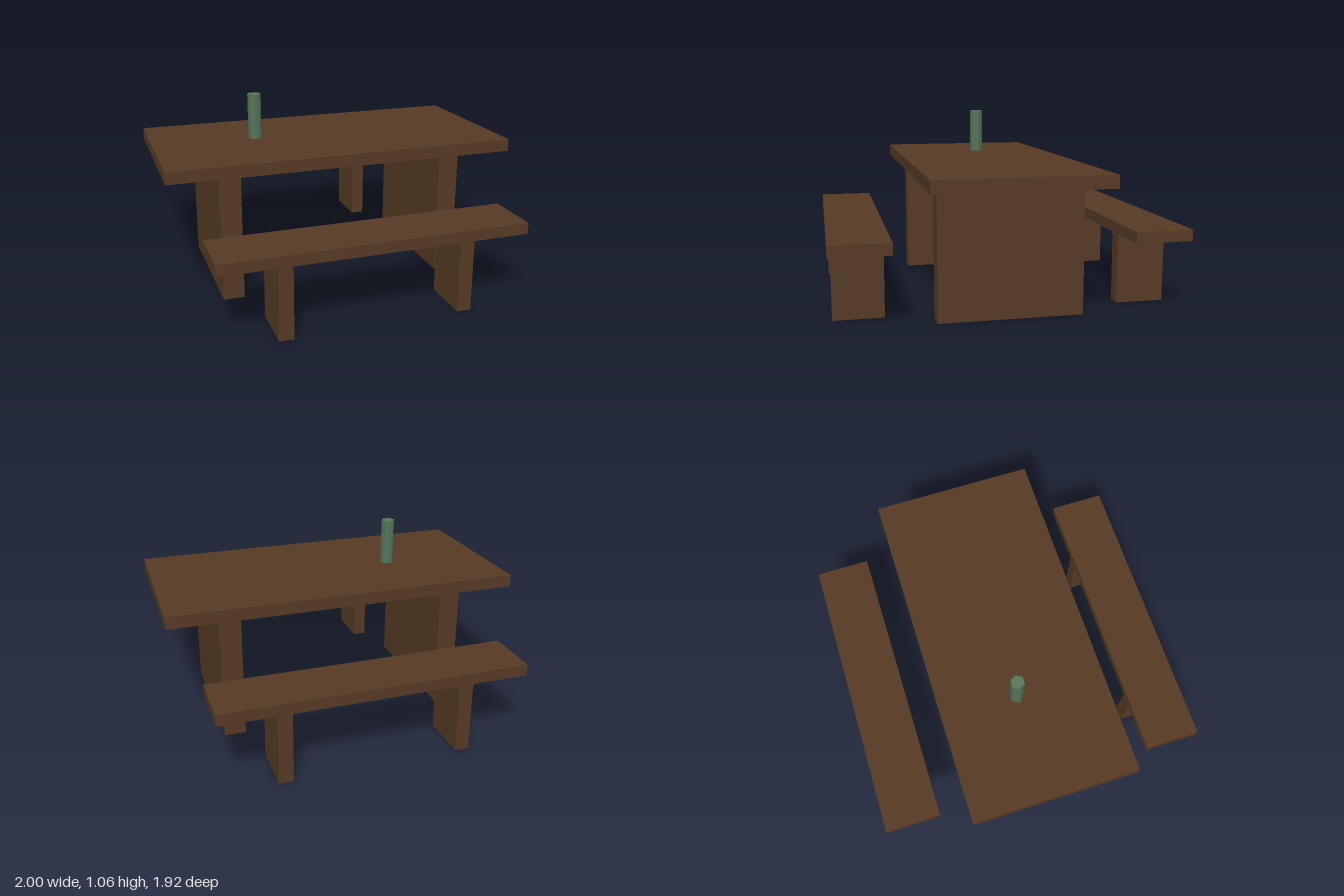
import * as THREE from 'three';

export function createModel() {
  const model = new THREE.Group();
  model.name = 'picnicTable';

  const wood = new THREE.MeshStandardMaterial({ name: 'brownWood', color: 0x563b24 });
  const openWood = new THREE.MeshStandardMaterial({ name: 'brownWoodLegs', color: 0x563b24, side: THREE.DoubleSide });
  const glass = new THREE.MeshStandardMaterial({ name: 'greenGlass', color: 0x56775a });

  const add = (name, geometry, material, x, y, z) => {
    const mesh = new THREE.Mesh(geometry, material);
    mesh.name = name;
    mesh.position.set(x, y, z);
    model.add(mesh);
  };

  // Solid board standing on a given height
  const board = (name, w, h, d, x, y0, z) =>
    add(name, new THREE.BoxGeometry(w, h, d), wood, x, y0 + h / 2, z);

  // Hollow leg: the four side walls of a box, open at both ends
  const leg = (name, w, h, d, x, z) => {
    const geometry = new THREE.BoxGeometry(w, h, d);
    const index = Array.from(geometry.index.array);
    index.splice(12, 12); // top and bottom faces
    geometry.setIndex(index);
    geometry.clearGroups();
    add(name, geometry, openWood, x, h / 2, z);
  };

  // Table
  board('tableTop', 2, 0.07, 0.95, 0, 0.73, 0);
  for (const side of [-1, 1]) {
    leg(side > 0 ? 'leftTableLeg' : 'rightTableLeg', 0.12, 0.72, 0.8, side * 0.65, 0);
  }

  // Benches
  for (const front of [-1, 1]) {
    const place = front > 0 ? 'front' : 'back';
    board(place + 'BenchSeat', 1.7, 0.063, 0.32, 0, 0.411, front * 0.8);
    for (const side of [-1, 1]) {
      leg(place + (side > 0 ? 'Left' : 'Right') + 'BenchLeg', 0.08, 0.4, 0.28, side * 0.5, front * 0.8);
    }
  }

  // Six-sided bottle with corners towards left and right
  const bottle = new THREE.CylinderGeometry(0.04, 0.04, 0.262, 6).rotateY(Math.PI / 6);
  add('bottle', bottle, glass, -0.4, 0.934, -0.035);

  return model;
}
